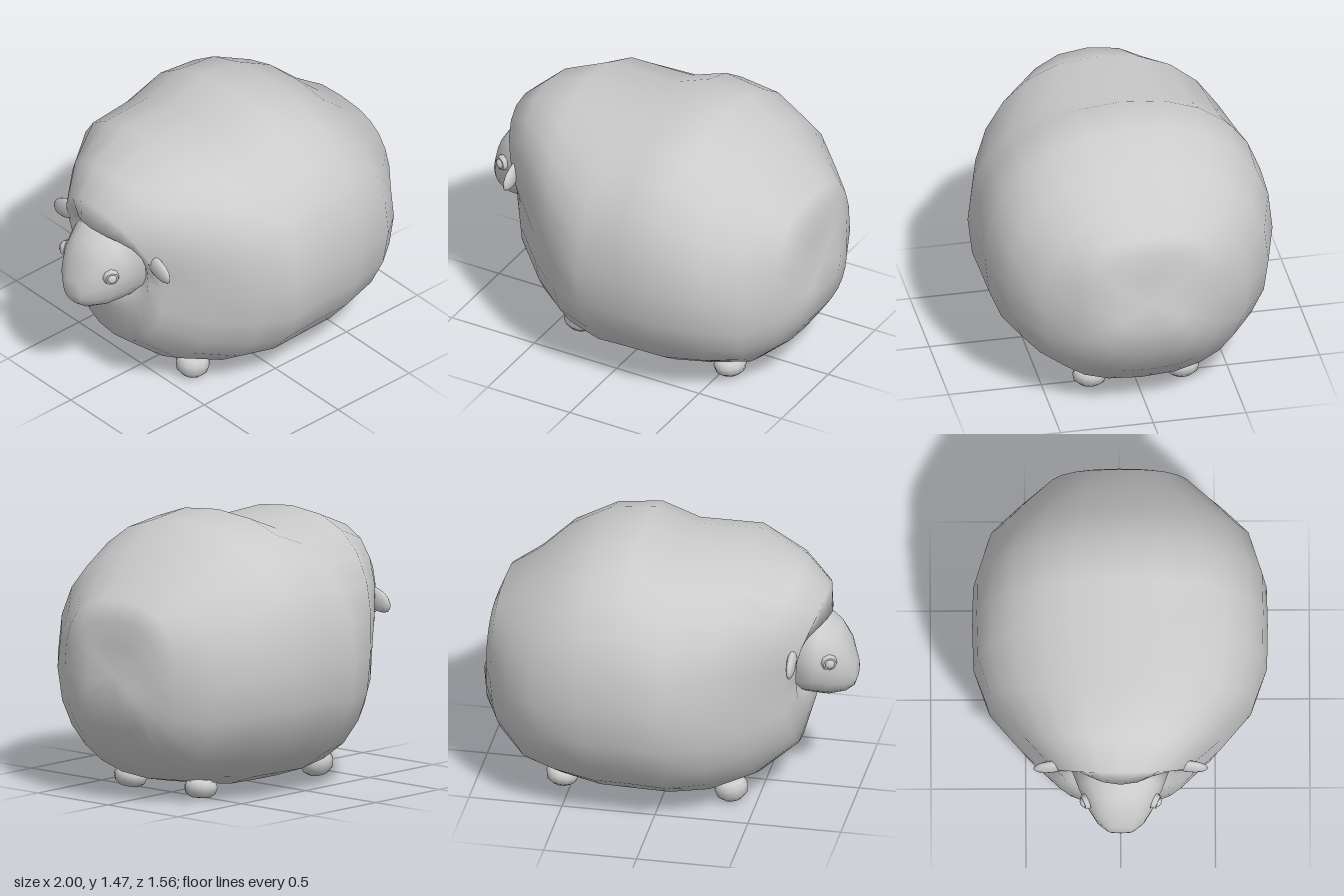
import * as THREE from 'three';
import { mergeVertices } from 'three/addons/utils/BufferGeometryUtils.js';

const material = new THREE.MeshStandardMaterial({ color: 0xcccccc });

// Skin closed rings along x.
// Ring: [xTop, yTop, xMid, xBottom, yBottom, halfWidth, squareness, curl of the x offset]
function loft(rings, segments) {
  const pos = [], index = [];
  const soft = (v, p) => Math.sign(v) * Math.abs(v) ** p;
  rings.forEach(([xT, yT, xM, xB, yB, w, square = 2.25, curl = 1.5], i) => {
    for (let j = 0; j < segments; j++) {
      const a = (j / segments) * Math.PI * 2;
      const s = soft(Math.sin(a), 2 / square), c = soft(Math.cos(a), 2 / square);
      const x = xM + ((s > 0 ? xT : xB) - xM) * Math.abs(s) ** curl;
      pos.push(x, (yT + yB) / 2 + (s * (yT - yB)) / 2, c * w);
      if (i === rings.length - 1) continue;
      const p = i * segments + j, q = i * segments + ((j + 1) % segments);
      index.push(p, p + segments, q, q, p + segments, q + segments);
    }
  });
  let geo = new THREE.BufferGeometry();
  geo.setAttribute('position', new THREE.Float32BufferAttribute(pos, 3));
  geo.setIndex(index);
  geo = mergeVertices(geo, 1e-4);
  geo.computeVertexNormals();
  return geo;
}

function add(parent, name, geo, position = [0, 0, 0], rotation = [0, 0, 0], scale = [1, 1, 1]) {
  const mesh = new THREE.Mesh(geo, material);
  mesh.name = name;
  mesh.position.set(...position);
  mesh.rotation.set(...rotation);
  mesh.scale.set(...scale);
  parent.add(mesh);
}

export function createModel() {
  const sheep = new THREE.Group();
  sheep.name = 'sheep';

  // Woolly body: hood overhanging the face, saddle in the back, ledge above the rump
  add(sheep, 'fleece', loft([
    [-0.68, 0.8, -0.68, -0.68, 0.8, 0],
    [-0.7, 0.99, -0.69, -0.75, 0.6, 0.25],
    [-0.86, 1.05, -0.72, -0.77, 0.53, 0.3, 2.25, 4],
    [-0.84, 1.18, -0.66, -0.7, 0.29, 0.36, 2.25, 1.1],
    [-0.7, 1.31, -0.48, -0.5, 0.12, 0.54],
    [-0.44, 1.41, -0.28, -0.27, 0.04, 0.71],
    [-0.06, 1.39, -0.09, -0.06, 0.02, 0.775],
    [0.14, 1.47, 0.14, 0.12, 0.02, 0.78],
    [0.38, 1.44, 0.36, 0.3, 0.025, 0.775],
    [0.59, 1.33, 0.62, 0.5, 0.06, 0.7],
    [0.75, 1.18, 0.79, 0.69, 0.1, 0.55, 2.4],
    [0.9, 1.08, 0.91, 0.85, 0.24, 0.39, 2.8],
    [0.94, 0.98, 0.95, 0.96, 0.4, 0.29, 2.8],
    [0.94, 0.85, 0.965, 1.0, 0.56, 0.18, 2.8],
    [0.968, 0.7, 0.968, 0.968, 0.7, 0],
  ], 24));

  // Face, tapering to the muzzle
  add(sheep, 'head', loft([
    [-1.0, 0.69, -1.0, -1.0, 0.69, 0],
    [-0.99, 0.77, -0.99, -0.98, 0.63, 0.07],
    [-0.95, 0.9, -0.95, -0.94, 0.6, 0.13],
    [-0.9, 0.98, -0.88, -0.85, 0.58, 0.18],
    [-0.82, 1.04, -0.8, -0.76, 0.59, 0.22],
    [-0.66, 1.04, -0.68, -0.66, 0.62, 0.265],
    [-0.64, 0.82, -0.64, -0.64, 0.82, 0],
  ], 16));

  const ball = new THREE.SphereGeometry(1, 12, 8);
  const rim = new THREE.CylinderGeometry(0.036, 0.046, 0.026, 8).rotateX(Math.PI / 2);
  // Bowl-shaped foot of unit height, flat-topped where it meets the belly
  const foot = new THREE.LatheGeometry(
    [[0, 0], [0.05, 0.03], [0.082, 0.25], [0.092, 0.6], [0.08, 0.88], [0.045, 0.97], [0, 1]]
      .map(([r, y]) => new THREE.Vector2(r, y)), 12);

  for (const side of [-1, 1]) {
    const label = side > 0 ? 'left' : 'right';

    // Eye: flat rim with a raised pupil, facing outwards and forwards
    const eye = new THREE.Group();
    eye.name = label + 'Eye';
    eye.position.set(-0.877, 0.835, side * 0.187);
    eye.rotation.y = side > 0 ? -0.45 : Math.PI + 0.45;
    add(eye, 'eyeRim', rim);
    add(eye, 'pupil', ball, [0, 0, 0.012], [0, 0, 0], [0.026, 0.026, 0.017]);
    sheep.add(eye);

    // Thin leaf-shaped ear, drooping outwards
    add(sheep, label + 'Ear', ball, [-0.708, 0.913, side * 0.365], [side * 0.4, 0, 0], [0.025, 0.058, 0.103]);

    // Stubby feet
    add(sheep, label + 'FrontFoot', foot, [-0.375, 0.008, side * 0.255], [-side * 0.08, 0, -0.2], [1, 0.125, 1]);
    add(sheep, label + 'BackFoot', foot, [0.555, 0.008, side * 0.255], [-side * 0.08, 0, 0.15], [0.95, 0.1, 1]);
  }
  return sheep;
}
